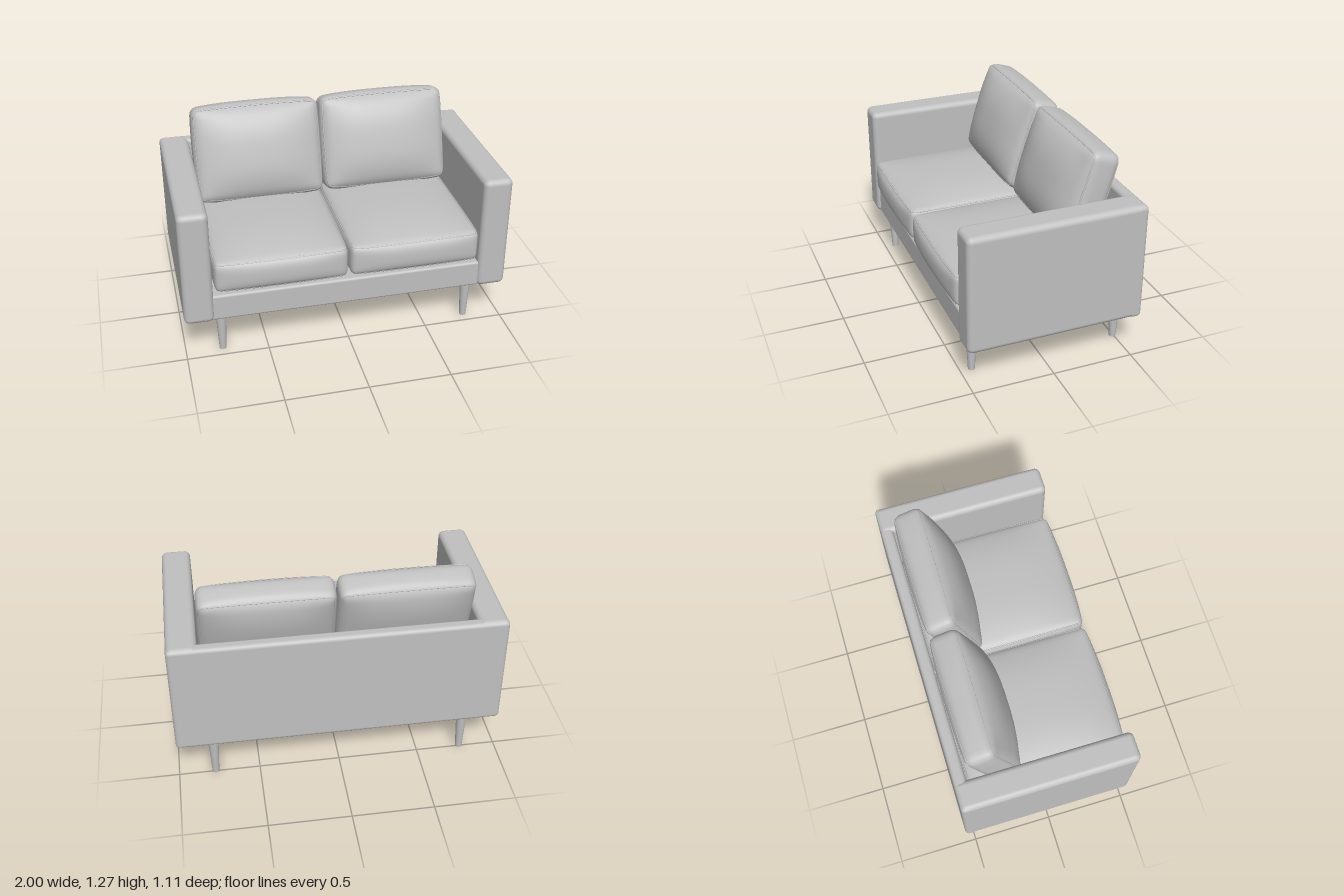
import * as THREE from 'three';
import { mergeVertices } from 'three/addons/utils/BufferGeometryUtils.js';
import { RoundedBoxGeometry } from 'three/addons/geometries/RoundedBoxGeometry.js';

const fabric = new THREE.MeshStandardMaterial({ color: 0xc0c0c0 });
fabric.name = 'grey fabric';

function add(parent, name, geometry, x = 0, y = 0, z = 0) {
  const mesh = new THREE.Mesh(geometry, fabric);
  mesh.name = name;
  mesh.position.set(x, y, z);
  parent.add(mesh);
  return mesh;
}

// Rounded panel given by its extents
function panel(parent, name, [x0, x1], [y0, y1], [z0, z1], r) {
  const geo = new RoundedBoxGeometry(x1 - x0, y1 - y0, z1 - z0, 5, r);
  return add(parent, name, geo, (x0 + x1) / 2, (y0 + y1) / 2, (z0 + z1) / 2);
}

// Moves every vertex by a rule and recomputes smooth normals
function deform(geo, rule) {
  geo.deleteAttribute('uv');
  geo.deleteAttribute('normal');
  const g = mergeVertices(geo, 1e-5);
  const pos = g.attributes.position;
  const p = new THREE.Vector3();
  for (let i = 0; i < pos.count; i++) {
    p.fromBufferAttribute(pos, i);
    rule(p);
    pos.setXYZ(i, p.x, p.y, p.z);
  }
  g.computeVertexNormals();
  return g;
}

// Stuffed cushion: hx, hy, hz are half sizes of the core, hy being its thickness
function cushion(name, { hx, hy, hz, top, bottom, side, r }) {
  const group = new THREE.Group();
  group.name = name;
  const falloff = (t) => 1 - Math.min(1, Math.abs(t)) ** 2.8;
  const half = new THREE.Vector3(hx, hy, hz);
  const inner = half.clone().subScalar(r);

  const puff = (p) => {
    const u = p.x / hx, v = p.y / hy, w = p.z / hz;
    p.x += u * side * 0.5 * falloff(v) * falloff(w);
    p.y += v * (v > 0 ? top : bottom) * falloff(u) * falloff(w);
    p.z += w * side * falloff(v) * falloff(u);
  };

  const body = deform(new THREE.BoxGeometry(2, 2, 2, 28, 14, 28), (p) => {
    // Crowd the grid towards the edges, then round them
    for (const a of ['x', 'y', 'z']) p[a] = Math.sin(p[a] * Math.PI / 2) * half[a];
    const core = p.clone().clamp(inner.clone().negate(), inner);
    p.sub(core).normalize().multiplyScalar(r).add(core);
    puff(p);
  });
  add(group, 'cushionBody', body);

  // Piping along the upper and lower seams
  const cut = 0.3 * r;
  for (const s of [1, -1]) {
    const points = [];
    for (const [sx, sz, start] of [[1, 1, 0], [-1, 1, 1], [-1, -1, 2], [1, -1, 3]]) {
      for (let k = 0; k <= 4; k++) {
        const a = (start + k / 4) * Math.PI / 2;
        points.push(new THREE.Vector3(
          sx * inner.x + (r - cut) * Math.cos(a),
          s * (hy - cut),
          sz * inner.z + (r - cut) * Math.sin(a)));
      }
    }
    const path = new THREE.CatmullRomCurve3(points, true, 'centripetal');
    add(group, 'piping', deform(new THREE.TubeGeometry(path, 160, 0.004, 6, true), puff));
  }
  return group;
}

export function createModel() {
  const sofa = new THREE.Group();
  sofa.name = 'sofa';

  // Frame
  panel(sofa, 'base', [-0.84, 0.84], [0.262, 0.43], [-0.52, 0.505], 0.015);
  panel(sofa, 'backPanel', [-1, 1], [0.26, 0.99], [-0.555, -0.478], 0.025);

  for (const s of [1, -1]) {
    const side = s > 0 ? 'left' : 'right';
    const span = s > 0 ? [0.82, 1] : [-1, -0.82];
    panel(sofa, side + 'Arm', span, [0.26, 0.995], [-0.555, 0.525], 0.035);

    // Tapered legs
    for (const [end, z] of [['Front', 0.428], ['Back', -0.495]]) {
      add(sofa, side + end + 'Leg',
        new THREE.CylinderGeometry(0.033, 0.021, 0.275, 24), s * 0.775, 0.1375, z);
    }

    // Seat cushion
    const seat = cushion(side + 'SeatCushion',
      { hx: 0.398, hy: 0.098, hz: 0.495, top: 0.053, bottom: 0.02, side: 0.028, r: 0.035 });
    seat.position.set(s * 0.408, 0.56, 0.032);
    sofa.add(seat);

    // Back cushion, stood up and leaning against the back panel
    const back = cushion(side + 'BackCushion',
      { hx: 0.397, hy: 0.09, hz: 0.295, top: 0.08, bottom: 0.05, side: 0.02, r: 0.045 });
    back.rotation.x = Math.PI / 2 - 0.3;
    back.position.set(s * 0.407, 0.96, -0.3);
    sofa.add(back);
  }
  return sofa;
}
